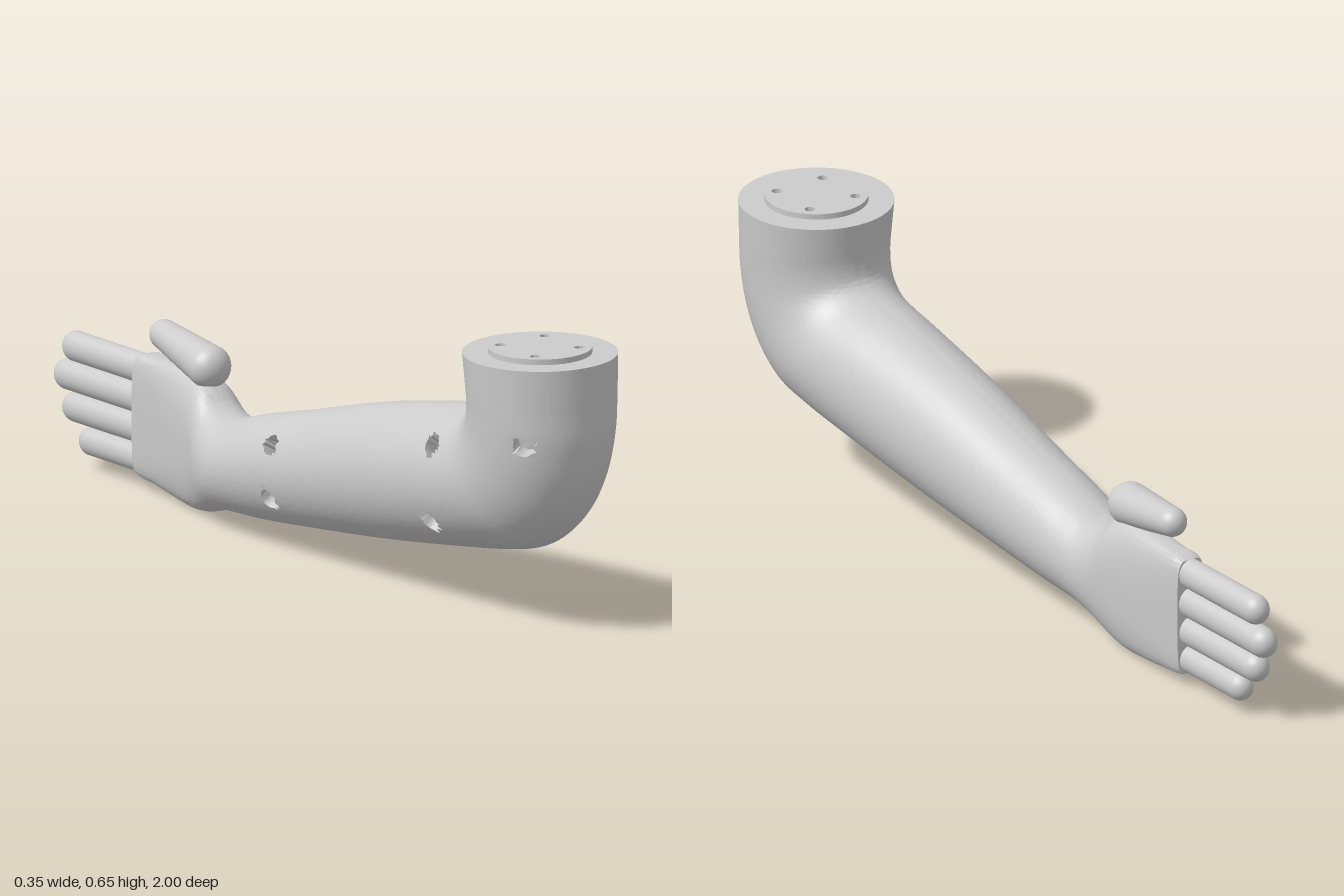
import * as THREE from 'three';
import { toCreasedNormals } from 'three/addons/utils/BufferGeometryUtils.js';

const material = new THREE.MeshStandardMaterial({ color: 0xcccccc });

function part(name, geometry) {
  const mesh = new THREE.Mesh(geometry, material);
  mesh.name = name;
  return mesh;
}

// Limb cross-sections: outer z, y | inner z, y | min x, max x | squareness (2 = ellipse)
const SECTIONS = [
  [0.995, 0.637, 0.645, 0.637, -0.175, 0.175, 2],
  [0.995, 0.54, 0.652, 0.58, -0.171, 0.171, 2],
  [0.993, 0.45, 0.655, 0.535, -0.167, 0.167, 2],
  [0.97, 0.35, 0.648, 0.5, -0.163, 0.163, 2],
  [0.92, 0.26, 0.63, 0.482, -0.16, 0.16, 2],
  [0.84, 0.193, 0.605, 0.472, -0.157, 0.158, 2],
  [0.74, 0.165, 0.56, 0.463, -0.154, 0.156, 2],
  [0.6, 0.14, 0.48, 0.45, -0.149, 0.151, 2],
  [0.3, 0.095, 0.25, 0.4, -0.137, 0.138, 2],
  [0, 0.06, 0, 0.33, -0.122, 0.122, 2],
  [-0.15, 0.045, -0.15, 0.29, -0.114, 0.115, 2],
  [-0.23, 0.04, -0.23, 0.265, -0.107, 0.111, 2],
  [-0.29, 0.036, -0.29, 0.25, -0.098, 0.108, 2.1],
  [-0.35, 0.02, -0.35, 0.267, -0.075, 0.105, 2.2],
  [-0.4, 0.006, -0.4, 0.303, -0.05, 0.103, 2.4],
  [-0.46, 0, -0.46, 0.315, -0.028, 0.1, 2.7],
  [-0.55, 0.008, -0.55, 0.315, -0.005, 0.098, 3.2],
  [-0.62, 0.018, -0.62, 0.312, 0.01, 0.096, 4],
  [-0.67, 0.024, -0.67, 0.31, 0.014, 0.095, 5],
  [-0.688, 0.028, -0.688, 0.304, 0.018, 0.091, 5],
];

// Round sockets: centre and outward direction
const SOCKETS = [
  { at: [-0.135, 0.46, 0.93], out: [-0.75, 0, 0.66] },
  { at: [-0.133, 0.4, 0.59], out: [-0.8, 0.6, 0] },
  { at: [-0.125, 0.21, 0.58], out: [-0.8, -0.6, 0] },
  { at: [-0.11, 0.264, -0.03], out: [-0.85, 0.52, 0] },
  { at: [-0.112, 0.13, -0.03], out: [-0.87, -0.5, 0] },
].map(({ at, out }) => ({
  at: new THREE.Vector3(...at),
  out: new THREE.Vector3(...out).normalize(),
}));

// Catmull-Rom blend of one value through four neighbours
function blend(a, b, c, d, t) {
  const m0 = (c - a) / 2, m1 = (d - b) / 2, t2 = t * t, t3 = t2 * t;
  return (2 * t3 - 3 * t2 + 1) * b + (t3 - 2 * t2 + t) * m0 + (3 * t2 - 2 * t3) * c + (t3 - t2) * m1;
}

function sectionRows(step) {
  const last = SECTIONS.length - 1, rows = [];
  for (let i = 0; i < last; i++) {
    const [p, q, r, s] = [i - 1, i, i + 1, i + 2].map((k) => SECTIONS[Math.min(last, Math.max(0, k))]);
    const length = Math.max(Math.hypot(r[0] - q[0], r[1] - q[1]), Math.hypot(r[2] - q[2], r[3] - q[3]));
    const count = Math.ceil(length / step);
    for (let k = 0; k < count; k++) {
      rows.push(q.map((_, j) => blend(p[j], q[j], r[j], s[j], k / count)));
    }
  }
  rows.push(SECTIONS[last]);
  return rows;
}

// Sinks points inside a socket and snaps the rim points to a clean circle
function sinkSockets(v) {
  const radius = 0.024, rim = 0.007, depth = 0.07;
  for (const { at, out } of SOCKETS) {
    const d = v.clone().sub(at);
    const along = d.dot(out);
    if (Math.abs(along) > 0.06) continue;
    const across = d.addScaledVector(out, -along);
    const distance = across.length();
    if (distance > radius + rim) continue;
    const snapped = distance > radius - rim ? radius : distance;
    v.copy(at).addScaledVector(across, snapped / (distance || 1));
    v.addScaledVector(out, distance < radius ? along - depth : along);
  }
  return v;
}

function limbGeometry() {
  const around = 112, positions = [], index = [];
  const rows = sectionRows(0.0075);
  const power = (value, n) => Math.sign(value) * Math.abs(value) ** (2 / n);
  for (const [oz, oy, iz, iy, x0, x1, n] of rows) {
    for (let k = 0; k < around; k++) {
      const a = (k / around) * Math.PI * 2;
      const c = power(Math.cos(a), n), s = power(Math.sin(a), n);
      const v = new THREE.Vector3(
        (x0 + x1) / 2 + (s * (x1 - x0)) / 2,
        (oy + iy) / 2 + (c * (oy - iy)) / 2,
        (oz + iz) / 2 + (c * (oz - iz)) / 2,
      );
      positions.push(...sinkSockets(v).toArray());
    }
  }
  for (let i = 0; i < rows.length - 1; i++) {
    for (let k = 0; k < around; k++) {
      const next = (k + 1) % around;
      const a = i * around + k, b = i * around + next;
      index.push(a, a + around, b, b, a + around, b + around);
    }
  }
  // End caps
  [0, rows.length - 1].forEach((i) => {
    const [oz, oy, iz, iy, x0, x1] = rows[i];
    const centre = positions.length / 3;
    positions.push((x0 + x1) / 2, (oy + iy) / 2, (oz + iz) / 2);
    for (let k = 0; k < around; k++) {
      const a = i * around + k, b = i * around + ((k + 1) % around);
      index.push(...(i === 0 ? [centre, a, b] : [centre, b, a]));
    }
  });
  const geometry = new THREE.BufferGeometry();
  geometry.setAttribute('position', new THREE.Float32BufferAttribute(positions, 3));
  geometry.setIndex(index);
  return toCreasedNormals(geometry, 0.7);
}

// Mounting disc with four screw holes
function mountingPlate() {
  const shape = new THREE.Shape().absarc(0, 0, 0.117, 0, Math.PI * 2);
  for (const x of [-0.063, 0.063]) {
    for (const y of [-0.063, 0.063]) {
      shape.holes.push(new THREE.Path().absarc(x, y, 0.012, 0, Math.PI * 2, true));
    }
  }
  const geometry = new THREE.ExtrudeGeometry(shape, { depth: 0.013, bevelEnabled: false, curveSegments: 40 });
  const plate = part('mountingPlate', toCreasedNormals(geometry.rotateX(-Math.PI / 2), 0.6));
  plate.position.set(0, 0.637, 0.82);
  return plate;
}

// Tapered, round-ended thumb
function thumb() {
  const base = new THREE.Vector3(0.026, 0.337, -0.415), tip = new THREE.Vector3(0.05, 0.367, -0.61);
  const length = base.distanceTo(tip), profile = [];
  for (let i = 0; i <= 10; i++) {
    const a = -Math.PI / 2 + (i / 10) * (Math.PI / 2);
    profile.push(new THREE.Vector2(0.05 * Math.cos(a), 0.045 * Math.sin(a)));
  }
  for (let i = 0; i <= 10; i++) {
    const a = (i / 10) * (Math.PI / 2);
    profile.push(new THREE.Vector2(0.034 * Math.cos(a), length + 0.034 * Math.sin(a)));
  }
  const mesh = part('thumb', new THREE.LatheGeometry(profile, 32));
  mesh.position.copy(base);
  mesh.quaternion.setFromUnitVectors(new THREE.Vector3(0, 1, 0), tip.sub(base).normalize());
  return mesh;
}

// Straight capsule fingers: centre y, tip z, radius
function fingers() {
  const group = new THREE.Group();
  group.name = 'fingers';
  const specs = [[0.27, -0.97, 0.035], [0.2, -1, 0.036], [0.13, -0.97, 0.035], [0.062, -0.91, 0.033]];
  specs.forEach(([y, tip, r], i) => {
    const start = -0.655;
    const geometry = new THREE.CapsuleGeometry(r, start - tip - 2 * r, 10, 28).rotateX(Math.PI / 2);
    const finger = part(`finger${i + 1}`, geometry);
    finger.scale.x = 0.9;
    finger.position.set(0.055, y, (start + tip) / 2);
    group.add(finger);
  });
  return group;
}

export function createModel() {
  const model = new THREE.Group();
  model.name = 'bentArm';
  model.add(part('armAndPalm', limbGeometry()), mountingPlate(), thumb(), fingers());
  return model;
}
